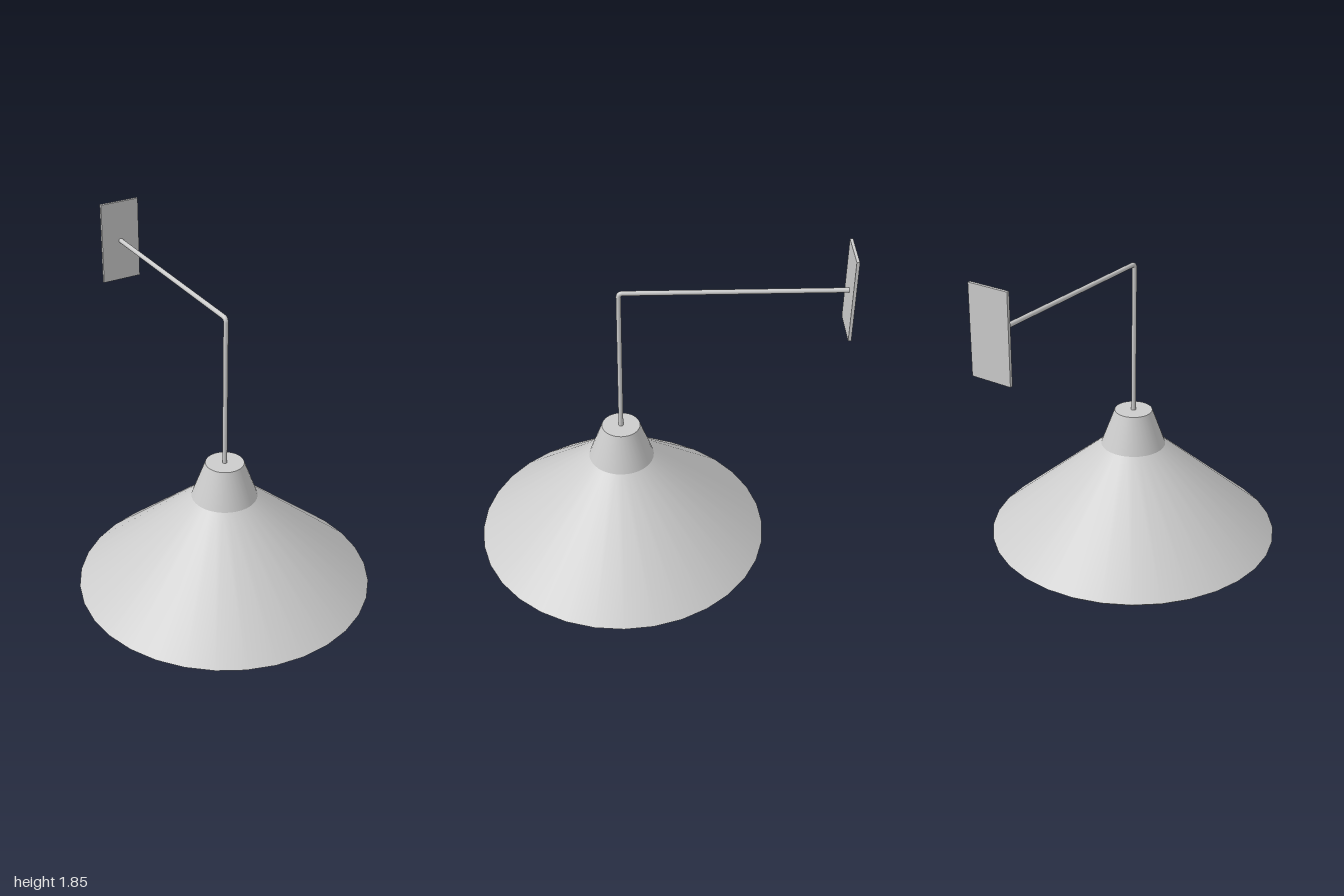
import * as THREE from 'three';
import { mergeGeometries } from 'three/addons/utils/BufferGeometryUtils.js';

const SIDES = 32;
const LAMP_Z = 0.19; // axis of shade, bulb and drop rod
const grey = new THREE.MeshStandardMaterial({ color: 0xcccccc });

const addMesh = (parent, name, geometry, x = 0, y = 0, z = 0) => {
  const mesh = new THREE.Mesh(geometry, grey);
  mesh.name = name;
  mesh.position.set(x, y, z);
  parent.add(mesh);
  return mesh;
};

// Lathe with a sharp edge at every profile point
const creasedLathe = (profile) => {
  const bands = [];
  for (let i = 0; i < profile.length - 1; i++) {
    const pair = [profile[i], profile[i + 1]].map(([r, y]) => new THREE.Vector2(r, y));
    bands.push(new THREE.LatheGeometry(pair, SIDES));
  }
  return mergeGeometries(bands);
};

export function createModel() {
  const lamp = new THREE.Group();
  lamp.name = 'wallLamp';

  // Wall plate
  addMesh(lamp, 'wallPlate', new THREE.BoxGeometry(0.23, 0.47, 0.016), 0, 1.615, -0.992);

  // Bent rod: horizontal arm, rounded elbow, vertical drop
  const rodR = 0.013, bend = 0.02, armY = 1.617;
  const armEnd = LAMP_Z - bend, dropTop = armY - bend, dropBottom = 0.75;
  const rod = new THREE.Group();
  rod.name = 'rod';
  lamp.add(rod);
  const armLength = armEnd + 0.99;
  const arm = addMesh(rod, 'arm', new THREE.CylinderGeometry(rodR, rodR, armLength, 16),
    0, armY, armEnd - armLength / 2);
  arm.rotation.x = Math.PI / 2;
  const elbow = addMesh(rod, 'elbow', new THREE.TorusGeometry(bend, rodR, 16, 8, Math.PI / 2),
    0, dropTop, armEnd);
  elbow.rotation.y = -Math.PI / 2;
  addMesh(rod, 'drop', new THREE.CylinderGeometry(rodR, rodR, dropTop - dropBottom, 16),
    0, (dropTop + dropBottom) / 2, LAMP_Z);

  // Hollow shade: inside down-facing skin, rim, cone, collar and cap
  addMesh(lamp, 'shade', creasedLathe([
    [0.79, 0], [0.81, 0.016], [0.18, 0.56], [0.105, 0.765], [0, 0.765],
  ]), 0, 0, LAMP_Z);
  addMesh(lamp, 'shadeInside', creasedLathe([
    [0, 0.745], [0.092, 0.745], [0.165, 0.545], [0.79, 0],
  ]), 0, 0, LAMP_Z);

  // Socket above the bulb
  addMesh(lamp, 'socket', new THREE.CylinderGeometry(0.09, 0.09, 0.3, SIDES), 0, 0.6, LAMP_Z);

  // Bulb: round globe blending into a narrower neck
  const bulbR = 0.148, bulbY = 0.245;
  const bulbProfile = [];
  for (let i = 0; i <= 14; i++) {
    const a = -Math.PI / 2 + (i / 14) * Math.PI * 0.74;
    bulbProfile.push(new THREE.Vector2(Math.max(0, Math.cos(a) * bulbR), bulbY + Math.sin(a) * bulbR));
  }
  bulbProfile.push(new THREE.Vector2(0.084, 0.395), new THREE.Vector2(0.074, 0.425), new THREE.Vector2(0.072, 0.46));
  addMesh(lamp, 'bulb', new THREE.LatheGeometry(bulbProfile, SIDES), 0, 0, LAMP_Z);

  return lamp;
}
